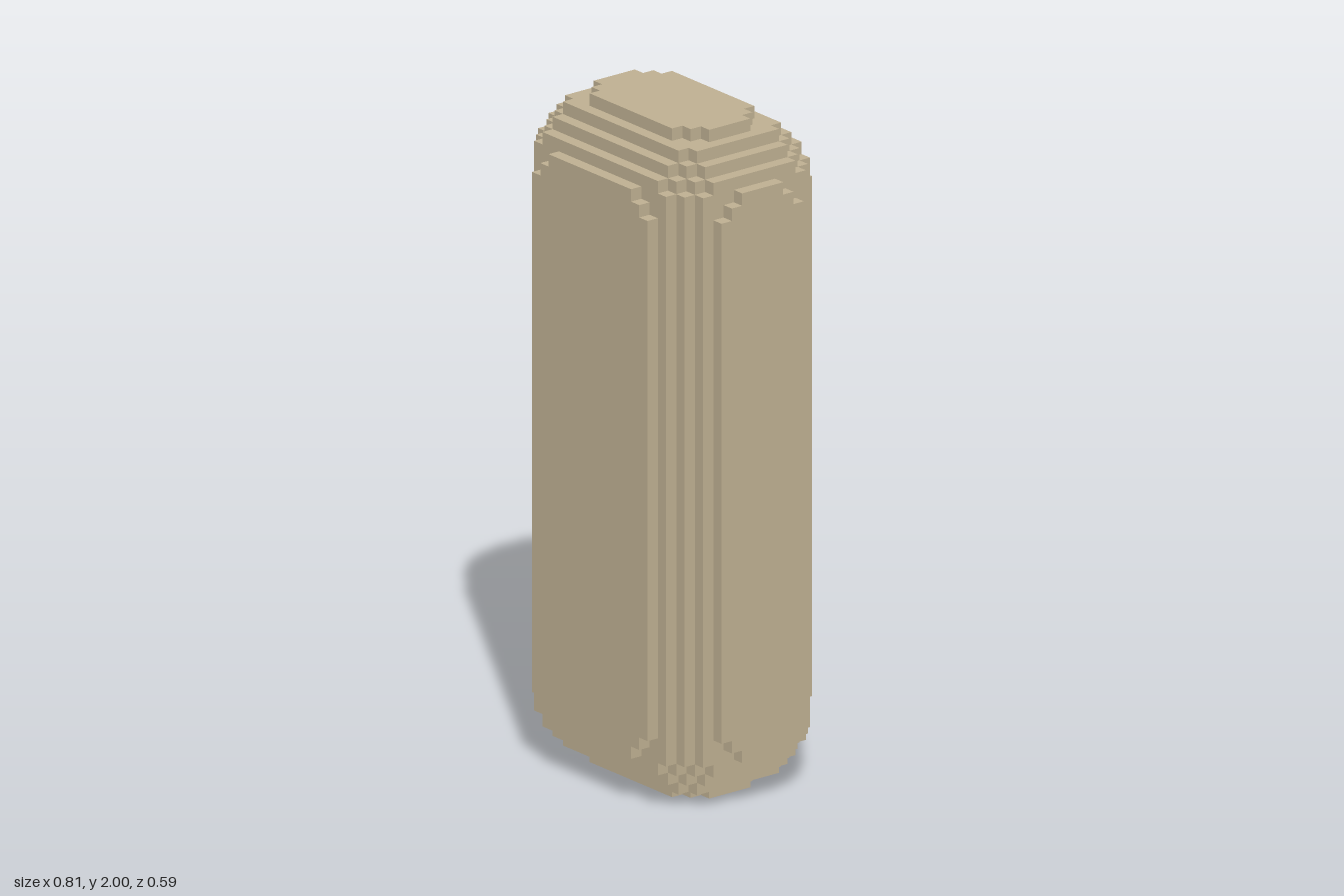
import * as THREE from 'three';

// Voxel block with stepped bevels on all edges and corners
const COLS = 22, ROWS = 54, DEEP = 16;
const UNIT = 2 / ROWS;

// a, b, c: how many voxels a cell lies inward from the nearest face on each axis
function filled(a, b, c) {
  const sum = a + b + c;
  const edges = a + b >= 4 && b + c >= 4 && a + c >= 4;
  return edges && sum >= (Math.min(a, b, c) === 0 ? 10 : 8);
}

// Stepped outline of the horizontal slice that lies `inset` voxels from an end
function sliceShape(inset) {
  const quarter = [];
  let last = null;
  for (let j = 0; j < COLS / 2; j++) {
    let k = 0;
    while (k < DEEP / 2 && !filled(inset, j, k)) k++;
    if (k === DEEP / 2 || k === last) continue;
    const x = COLS / 2 - j;
    if (last !== null) quarter.push([x, DEEP / 2 - last]);
    quarter.push([x, DEEP / 2 - k]);
    last = k;
  }
  const back = [...quarter].reverse();
  const outline = [
    ...quarter,
    ...back.map(([x, z]) => [-x, z]),
    ...quarter.map(([x, z]) => [-x, -z]),
    ...back.map(([x, z]) => [x, -z]),
  ];
  return new THREE.Shape(outline.map(([x, z]) => new THREE.Vector2(x * UNIT, z * UNIT)));
}

export function createModel() {
  const model = new THREE.Group();
  model.name = 'steppedBlock';
  const tan = new THREE.MeshStandardMaterial({ color: 0xbfb092 });
  tan.name = 'tan';

  function addSlab(name, inset, bottom, height) {
    const geometry = new THREE.ExtrudeGeometry(sliceShape(inset), {
      depth: height * UNIT, bevelEnabled: false,
    });
    geometry.rotateX(-Math.PI / 2);
    geometry.translate(0, bottom * UNIT, 0);
    const mesh = new THREE.Mesh(geometry, tan);
    mesh.name = name;
    model.add(mesh);
  }

  // Tall middle, then one-voxel steps narrowing to each end
  const STEPS = 6;
  addSlab('body', STEPS, STEPS, ROWS - 2 * STEPS);
  for (let i = 0; i < STEPS; i++) {
    addSlab(`bottomStep${i + 1}`, i, i, 1);
    addSlab(`topStep${i + 1}`, i, ROWS - 1 - i, 1);
  }
  return model;
}
